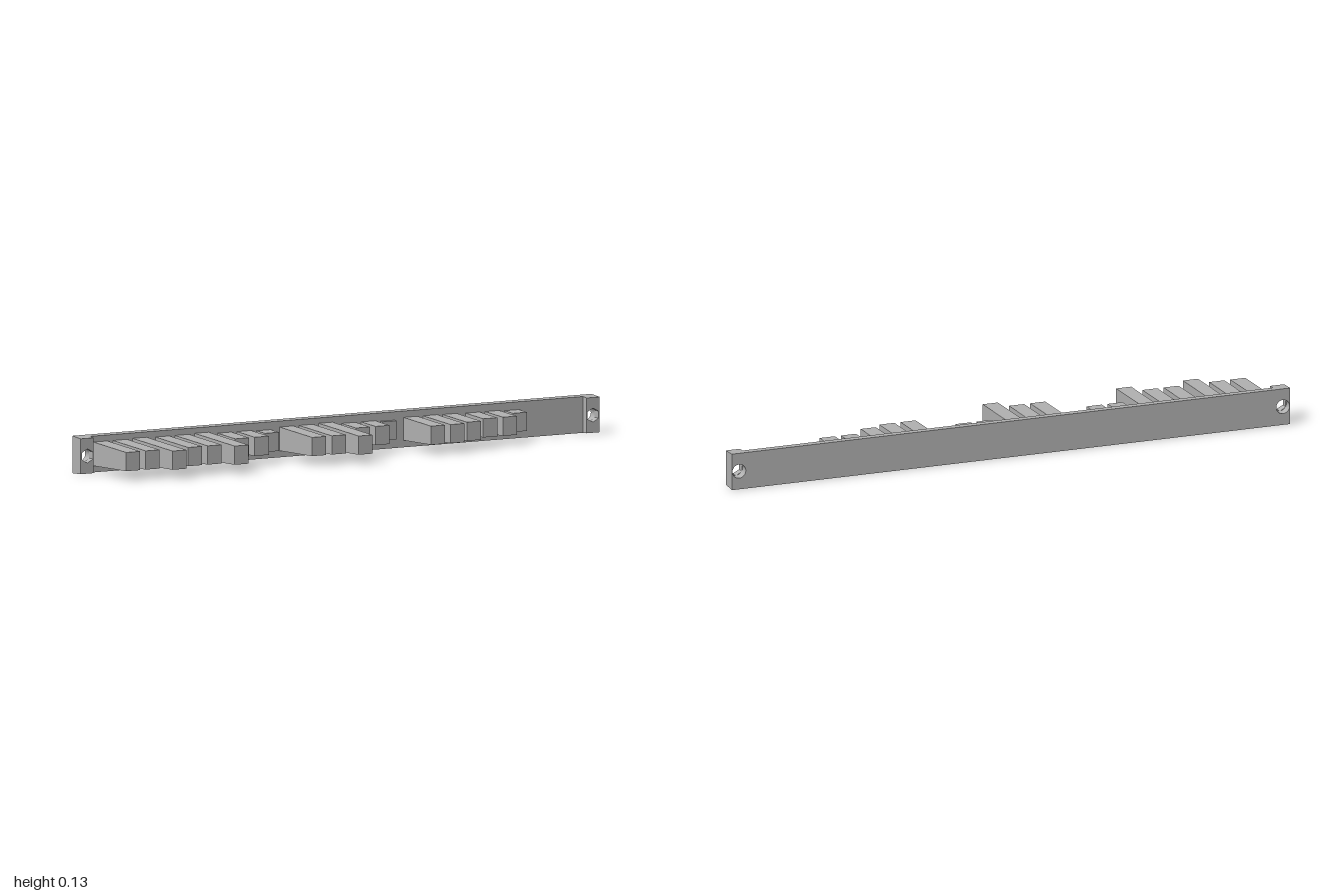
import * as THREE from 'three';

const BACK = -0.148, FACE = -0.118, PAD = -0.092, MID = 0.063;

// Narrow a geometry in height towards the front: half height scales from 1 at z0.
function draft(geo, z0, slope) {
  const p = geo.attributes.position;
  for (let i = 0; i < p.count; i++) {
    p.setY(i, p.getY(i) * (1 - slope * (p.getZ(i) - z0)));
  }
  geo.computeVertexNormals();
  return geo;
}

// Rectangle centred on (cx, 0) in the XY plane.
function rect(cx, w, h) {
  const s = new THREE.Shape();
  s.moveTo(cx - w / 2, -h / 2);
  s.lineTo(cx + w / 2, -h / 2);
  s.lineTo(cx + w / 2, h / 2);
  s.lineTo(cx - w / 2, h / 2);
  s.closePath();
  return s;
}

// Hole outline with the given number of sides, one corner pointing up.
function hole(cx, r, sides) {
  const pts = [];
  for (let i = 0; i < sides; i++) {
    const a = Math.PI / 2 - (i / sides) * Math.PI * 2;
    pts.push(new THREE.Vector2(cx + Math.cos(a) * r, Math.sin(a) * r));
  }
  return new THREE.Path(pts);
}

function slab(shape, z0, z1) {
  const geo = new THREE.ExtrudeGeometry(shape, { depth: z1 - z0, bevelEnabled: false });
  geo.translate(0, 0, z0);
  return draft(geo, BACK, 1.0);
}

export function createModel() {
  const model = new THREE.Group();
  model.name = 'toothedBar';
  const grey = new THREE.MeshStandardMaterial({ color: 0xb2b2b2 });
  grey.name = 'grey';

  const add = (name, geo, y = MID) => {
    const mesh = new THREE.Mesh(geo, grey);
    mesh.name = name;
    mesh.position.y = y;
    model.add(mesh);
  };

  // Back plate with a screw hole at each end
  const plate = rect(0, 2, 0.126);
  plate.holes.push(hole(-0.974, 0.024, 32), hole(0.974, 0.024, 32));
  add('backPlate', slab(plate, BACK, FACE));

  // Raised end pads with six-sided openings
  for (const side of [-1, 1]) {
    const pad = rect(side * 0.975, 0.05, 0.126);
    pad.holes.push(hole(side * 0.974, 0.025, 6));
    add(side > 0 ? 'leftEndPad' : 'rightEndPad', slab(pad, FACE, PAD));
  }

  // Seven groups of three teeth: front z of each; tips share one height, bases grow with length
  const tips = [
    [0.1, 0.1, 0.148], [0.1, 0.1, 0.148], [0, 0, -0.063], [0.1, 0.1, 0.148],
    [-0.022, -0.022, -0.105], [0.065, 0.065, 0.043], [0, 0, -0.063],
  ];
  tips.forEach((group, g) => group.forEach((tip, t) => {
    const len = tip - FACE, tipHeight = 0.063;
    const baseHeight = tipHeight + 2 * 0.039 * len;
    const geo = new THREE.BoxGeometry(0.054, baseHeight, len);
    geo.translate(-0.909 + g * 0.239 + t * 0.0755, 0, FACE + len / 2);
    add(`tooth${g * 3 + t + 1}`, draft(geo, FACE, (1 - tipHeight / baseHeight) / len), 0.064);
  }));

  return model;
}
